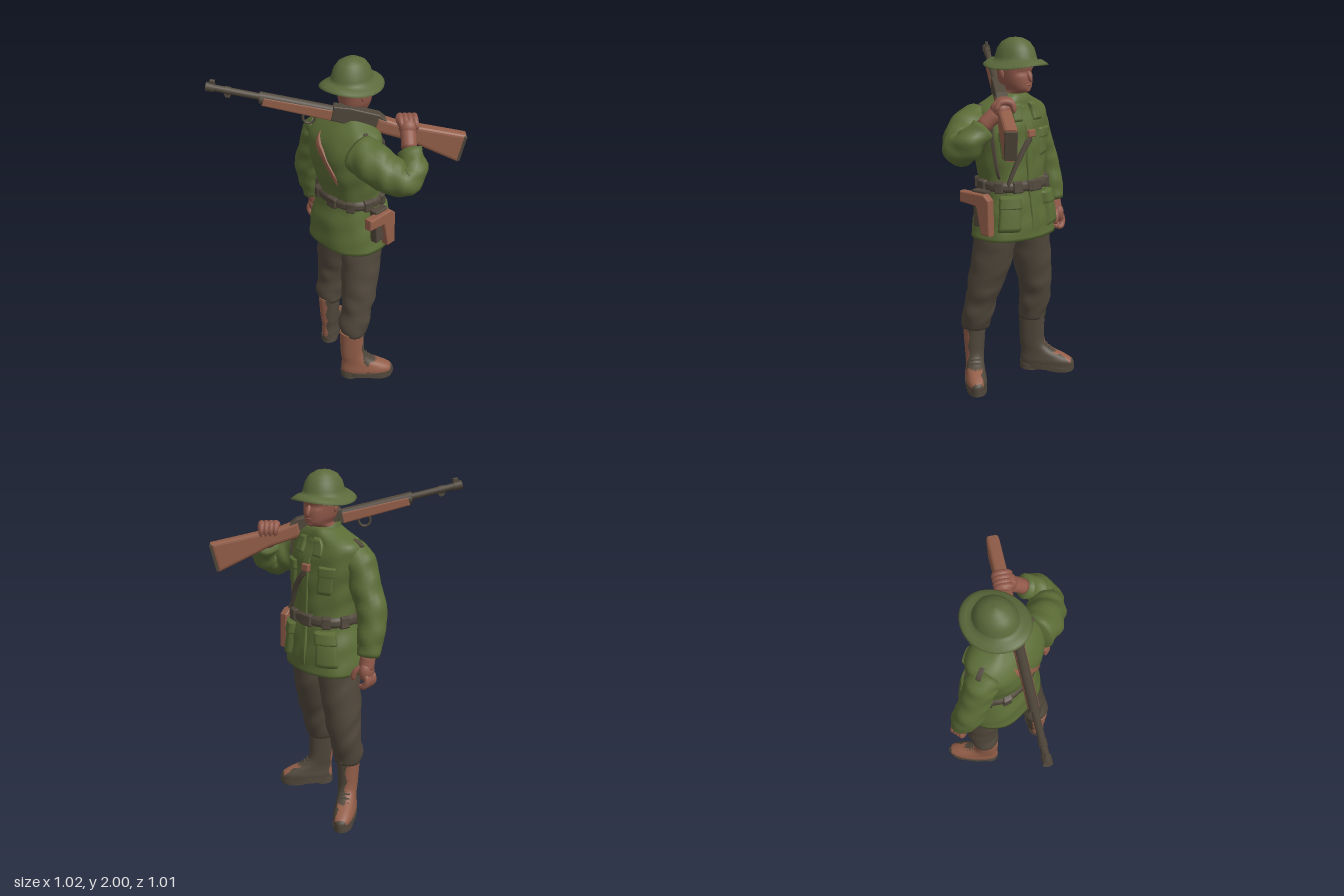
import * as THREE from 'three';
import { mergeVertices } from 'three/addons/utils/BufferGeometryUtils.js';

const mat = (name, color) => new THREE.MeshStandardMaterial({ name, color, side: THREE.DoubleSide });
const green = mat('jacketGreen', 0x5b6c36);
const hatGreen = mat('hatGreen', 0x5b693b);
const dark = mat('darkBrown', 0x50473b);
const red = mat('redBrown', 0x935e49);
const skin = mat('skin', 0x91594a);
const { sin, cos, PI, abs, sign, min, max } = Math;

// Smooth surface grid: u runs around, v runs upward
function grid(nu, nv, fn) {
  const pos = [], idx = [];
  for (let j = 0; j <= nv; j++) for (let i = 0; i <= nu; i++) pos.push(...fn(i / nu, j / nv));
  for (let j = 0; j < nv; j++) for (let i = 0; i < nu; i++) {
    const p = j * (nu + 1) + i, q = p + nu + 1;
    idx.push(p, q, p + 1, p + 1, q, q + 1);
  }
  const g = new THREE.BufferGeometry();
  g.setAttribute('position', new THREE.Float32BufferAttribute(pos, 3));
  g.setIndex(idx);
  const m = mergeVertices(g, 1e-5);
  m.computeVertexNormals();
  return m;
}

// Smoothly interpolated ring [y, cx, cz, rx, rz] at height y
function ringAt(rings, y) {
  let i = 0;
  while (i < rings.length - 2 && y > rings[i + 1][0]) i++;
  const a = rings[i], b = rings[i + 1], p = rings[max(i - 1, 0)], n = rings[min(i + 2, rings.length - 1)];
  const h = b[0] - a[0], t = (y - a[0]) / h, t2 = t * t, t3 = t2 * t;
  return a.map((va, k) => {
    const ma = (b[k] - p[k]) / (b[0] - p[0]) * h, mb = (n[k] - va) / (n[0] - a[0]) * h;
    return (2 * t3 - 3 * t2 + 1) * va + (t3 - 2 * t2 + t) * ma + (3 * t2 - 2 * t3) * b[k] + (t3 - t2) * mb;
  });
}

// Point on a stack of rings; a = 0 is the chest side (+x), a = PI/2 is +z
function ringPoint(rings, a, y, off = 0, twist = 0, e = 2) {
  const [, cx, cz, rx, rz] = ringAt(rings, y);
  const sp = (v) => sign(v) * abs(v) ** (2 / e);
  const x = (rx + off) * sp(cos(a)), z = (rz + off) * sp(sin(a));
  return [cx + x * cos(twist) - z * sin(twist), y, cz + x * sin(twist) + z * cos(twist)];
}

// Closed stack of rings, capped at both ends
function stack(rings, nu, nv, fold = () => 0, twist = 0, e = 2) {
  const y0 = rings[0][0], y1 = rings[rings.length - 1][0];
  return grid(nu, nv + 2, (u, v) => {
    const j = Math.round(v * (nv + 2)), y = y0 + (y1 - y0) * min(max((j - 1) / nv, 0), 1), a = u * 2 * PI;
    if (j === 0 || j === nv + 2) { const r = ringAt(rings, y); return [r[1], y, r[2]]; }
    return ringPoint(rings, a, y, fold(a, y), twist, e);
  });
}

// Tapered limb through points [x, y, z, radius]
function limb(pts, fold = 0, nv = 28) {
  const curve = new THREE.CatmullRomCurve3(pts.map((p) => new THREE.Vector3(p[0], p[1], p[2])));
  const fr = curve.computeFrenetFrames(nv);
  return grid(20, nv, (u, v) => {
    const j = Math.round(v * nv), k = v * (pts.length - 1), i = min(Math.floor(k), pts.length - 2), a = u * 2 * PI;
    let r = THREE.MathUtils.lerp(pts[i][3], pts[i + 1][3], k - i) + fold * sin(v * 34 + 2 * sin(a)) * cos(a * 2);
    if (j === 0 || j === nv) r = 0;
    const c = curve.getPoint(v);
    c.addScaledVector(fr.normals[j], r * cos(a)).addScaledVector(fr.binormals[j], -r * sin(a));
    return [c.x, c.y, c.z];
  });
}

// Split faces into two material groups by their centre
function paint(g, test) {
  const p = g.attributes.position, ix = g.index.array, sets = [[], []];
  for (let i = 0; i < ix.length; i += 3) {
    const t = [ix[i], ix[i + 1], ix[i + 2]], m = (f) => t.reduce((s, k) => s + p[f](k), 0) / 3;
    sets[test(m('getX'), m('getY'), m('getZ')) ? 1 : 0].push(...t);
  }
  g.setIndex([...sets[0], ...sets[1]]);
  g.addGroup(0, sets[0].length, 0);
  g.addGroup(sets[0].length, sets[1].length, 1);
  return g;
}

const BODY = [[0.9, 0.1, -0.03, 0.192, 0.252], [1.05, 0.1, -0.03, 0.178, 0.226], [1.2, 0.103, -0.02, 0.15, 0.193],
  [1.4, 0.075, -0.02, 0.168, 0.218], [1.54, 0.07, -0.025, 0.16, 0.235], [1.62, 0.08, -0.022, 0.125, 0.22],
  [1.67, 0.095, -0.012, 0.1, 0.13], [1.7, 0.1, -0.01, 0.08, 0.08]];
const bodyFold = (a, y) => 0.004 * sin(a * 5 + y * 17) * cos(y * 29 - a * 2);
const onBody = (a, y, off) => ringPoint(BODY, a, y, off, 0.15, 2.4);

export function createModel() {
  const root = new THREE.Group();
  const add = (name, geo, m, parent = root) => {
    const mesh = new THREE.Mesh(geo, m);
    mesh.name = name;
    parent.add(mesh);
    return mesh;
  };
  const ball = (name, m, p, s) => {
    const b = add(name, new THREE.SphereGeometry(1, 20, 14), m);
    b.position.set(...p); b.scale.set(...s);
    return b;
  };
  // Raised panel that follows the jacket surface
  const panel = (name, m, a0, a1, y0, y1, off, slope = 0) => add(name, grid(16, 10, (u, v) => {
    const edge = min(1, 10 * min(u, 1 - u), 10 * min(v, 1 - v)), a = a0 + (a1 - a0) * u;
    return onBody(a, y0 + (y1 - y0) * v + slope * (a1 - a0) * u, -0.006 + (off + 0.006) * edge);
  }), m);

  // Jacket and collar
  add('jacket', stack(BODY, 56, 48, bodyFold, 0.15, 2.4), green);
  add('collar', grid(32, 4, (u, v) => {
    const a = u * 2 * PI;
    return [0.1 + (0.105 - 0.02 * v) * cos(a), 1.655 + 0.065 * v - 0.03 * max(0, cos(a)), -0.01 + (0.105 - 0.02 * v) * sin(a)];
  }), green);
  panel('placket', green, -0.08, 0.08, 0.91, 1.6, 0.008);
  for (const s of [-1, 1]) {
    const span = (name, m, lo, hi, y0, y1, off) => panel(name, m, s > 0 ? lo : -hi, s > 0 ? hi : -lo, y0, y1, off);
    span('lapel', green, 0.1, 0.38, 1.55, 1.655, 0.014);
    span('chestPocket', green, 0.32, 0.85, 1.35, 1.49, 0.009);
    span('chestPocketFlap', green, 0.3, 0.87, 1.45, 1.51, 0.014);
    span('hipPocket', green, 0.34, 1.05, 0.95, 1.12, 0.022);
    span('hipPocketFlap', green, 0.31, 1.08, 1.08, 1.155, 0.03);
    span('shoulderTab', dark, 1.68, 1.9, 1.605, 1.645, 0.012);
  }

  // Belt, pouches and straps
  add('belt', grid(56, 5, (u, v) => onBody(u * 2 * PI, 1.172 + 0.058 * v, v === 0 || v === 1 ? 0 : 0.014)), dark);
  for (let i = 0; i < 10; i++) {
    const a = 0.25 + i * 0.64;
    panel('beltPouch', dark, a, a + 0.34, 1.164, 1.236, 0.023);
  }
  panel('buckle', dark, -0.12, 0.12, 1.168, 1.234, 0.02);
  panel('frontStrap', dark, -0.1, 0.85, 1.465, 1.515, 0.016, -0.33);
  panel('strapBadge', red, -0.1, 0.06, 1.465, 1.51, 0.021);
  panel('sideStrap', dark, 0.98, 1.1, 1.24, 1.62, 0.014);
  panel('backStrap', red, PI - 0.5, PI + 0.25, 1.31, 1.37, 0.007, 0.34);

  // Head
  const HEAD = [[1.65, 0.09, -0.01, 0.066, 0.066], [1.695, 0.1, -0.01, 0.068, 0.064], [1.715, 0.135, -0.01, 0.082, 0.058],
    [1.75, 0.13, -0.01, 0.096, 0.074], [1.8, 0.125, -0.01, 0.1, 0.084], [1.86, 0.12, -0.012, 0.104, 0.09], [1.9, 0.12, -0.015, 0.098, 0.088]];
  add('head', stack(HEAD, 32, 28, (a, y) => (cos(a) > 0.7 ? -0.007 * Math.exp(-(((y - 1.815) / 0.014) ** 2)) : 0), 0, 2.2), skin);
  const nose = ball('nose', skin, [0.226, 1.793, -0.01], [0.014, 0.032, 0.013]);
  nose.rotation.z = 0.4;
  ball('lips', skin, [0.219, 1.748, -0.01], [0.01, 0.008, 0.022]);
  ball('chin', skin, [0.203, 1.722, -0.01], [0.022, 0.017, 0.026]);
  for (const s of [-1, 1]) ball('ear', skin, [0.1, 1.805, -0.01 + s * 0.084], [0.017, 0.028, 0.009]).rotation.z = 0.2;

  // Brimmed hat with slightly lifted front and back
  const prof = [[0, 1.997], [0.04, 1.992], [0.08, 1.972], [0.106, 1.938], [0.119, 1.895], [0.125, 1.875], [0.15, 1.86], [0.178, 1.843], [0.188, 1.834], [0.18, 1.831], [0.12, 1.858]];
  const hat = new THREE.LatheGeometry(prof.map(([r, y]) => new THREE.Vector2(r, y)).reverse(), 40);
  const hp = hat.attributes.position;
  for (let i = 0; i < hp.count; i++) {
    const x = hp.getX(i), z = hp.getZ(i), r = Math.hypot(x, z);
    if (r > 0.14) hp.setY(i, hp.getY(i) + 0.024 * (x / r) ** 2);
    hp.setZ(i, z * 0.88 - 0.025);
    hp.setX(i, x + 0.118);
  }
  hat.computeVertexNormals();
  add('hat', hat, hatGreen);

  // Sleeves
  add('rightSleeve', limb([[0, 1.54, 0.13, 0.105], [0.0, 1.52, 0.22, 0.112], [0.035, 1.465, 0.32, 0.105], [0.085, 1.435, 0.39, 0.09],
    [0.15, 1.48, 0.39, 0.078], [0.195, 1.57, 0.32, 0.058]], 0.008), green);
  add('leftSleeve', limb([[0.065, 1.56, -0.17, 0.087], [0.07, 1.53, -0.225, 0.092], [0.08, 1.4, -0.28, 0.086], [0.09, 1.27, -0.335, 0.083],
    [0.125, 1.13, -0.355, 0.073], [0.15, 1.02, -0.357, 0.058]], 0.006), green);

  // Hands
  const finger = (pts, r) => add('finger', limb([[...pts[0], r * 0.7], [...pts[1], r], [...pts[2], r], [...pts[3], r * 0.6]], 0, 12), skin);
  add('rightWrist', limb([[0.18, 1.55, 0.335, 0.042], [0.21, 1.595, 0.305, 0.042], [0.24, 1.63, 0.27, 0.045]], 0, 8), skin);
  ball('rightPalm', skin, [0.25, 1.645, 0.265], [0.056, 0.052, 0.054]);
  for (let i = 0; i < 4; i++) {
    const k = (i - 1.5) * 0.018;
    finger([[0.235 + k, 1.64, 0.295 + k], [0.245 + k, 1.685, 0.265 + k], [0.285 + k, 1.682, 0.225 + k], [0.3 + k, 1.63, 0.22 + k]], 0.019);
  }
  finger([[0.22, 1.63, 0.25], [0.215, 1.675, 0.23], [0.235, 1.69, 0.21], [0.26, 1.68, 0.19]], 0.017);
  add('leftWrist', limb([[0.145, 1.05, -0.357, 0.042], [0.155, 1.0, -0.357, 0.042], [0.165, 0.96, -0.357, 0.042]], 0, 8), skin);
  ball('leftPalm', skin, [0.165, 0.955, -0.362], [0.05, 0.06, 0.038]);
  for (let i = 0; i < 4; i++) {
    const x = 0.135 + i * 0.02;
    finger([[x, 0.95, -0.38], [x, 0.905, -0.388], [x + 0.003, 0.875, -0.368], [x + 0.003, 0.875, -0.335]], 0.017);
  }
  finger([[0.18, 0.99, -0.345], [0.2, 0.955, -0.315], [0.205, 0.925, -0.303], [0.205, 0.9, -0.303]], 0.016);

  // Trousers
  const trouserFold = (a, y) => (y < 0.62 ? 0.006 : 0.003) * sin(y * 42 + 3 * sin(a + 1)) * cos(a * 1.5 + y * 9) ** 2;
  add('rightTrouser', stack([[0.335, -0.035, 0.142, 0.076, 0.076], [0.39, -0.028, 0.142, 0.088, 0.09], [0.5, 0, 0.14, 0.088, 0.092],
    [0.6, 0.025, 0.13, 0.103, 0.102], [0.75, 0.058, 0.113, 0.12, 0.108], [0.915, 0.08, 0.1, 0.132, 0.104]], 28, 36, trouserFold), dark);
  add('leftTrouser', stack([[0.335, 0.12, -0.2, 0.076, 0.076], [0.39, 0.122, -0.2, 0.084, 0.087], [0.5, 0.14, -0.195, 0.092, 0.092],
    [0.6, 0.143, -0.183, 0.102, 0.102], [0.75, 0.135, -0.158, 0.118, 0.112], [0.915, 0.128, -0.135, 0.13, 0.115]], 28, 36, trouserFold), dark);

  // Boots, two-toned with the outer side lighter
  const boot = (name, x, z, turn, side, lean, len) => {
    const g = new THREE.Group();
    g.name = name;
    g.position.set(x, 0, z);
    g.rotation.y = -turn;
    g.scale.x = len;
    root.add(g);
    const upper = stack([[0.025, 0.082, 0, 0.138, 0.058], [0.065, 0.08, 0, 0.138, 0.061], [0.095, 0.062, 0, 0.118, 0.056], [0.13, 0.028, 0, 0.083, 0.053],
      [0.17, 0.006, 0, 0.066, 0.055], [0.26, 0, 0, 0.064, 0.061], [0.355, 0, 0, 0.066, 0.067]], 56, 40, () => 0, 0, 2.3);
    add('upper', paint(upper, (px, py, pz) => py > 0.045 && (px > 0.09 && py < 0.12
      ? side * pz > -0.03 + 0.006 * sin(px * 90) && px < 0.207 : side * pz > lean * px + 0.006 * sin(py * 60))), [dark, red], g);
    const sole = add('sole', new THREE.CylinderGeometry(1, 1, 0.03, 32), dark, g);
    sole.position.set(0.082, 0.028, 0);
    sole.scale.set(0.143, 1, 0.064);
    const heel = add('heel', new THREE.CylinderGeometry(0.052, 0.054, 0.035, 20), dark, g);
    heel.position.set(-0.006, 0.018, 0);
    const front = add('frontSole', new THREE.CylinderGeometry(0.058, 0.058, 0.025, 20), dark, g);
    front.position.set(0.14, 0.013, 0);
    front.scale.x = 1.35;
    for (let i = 0; i < 5; i++) {
      const lace = add('lace', new THREE.CapsuleGeometry(0.005, 0.045, 3, 6), dark, g);
      lace.rotation.x = PI / 2;
      lace.position.set(0.128 - i * 0.017, 0.105 + i * 0.018, 0);
    }
  };
  boot('rightBoot', -0.045, 0.145, 0.78, 1, 0.7, 1.14);
  boot('leftBoot', 0.116, -0.2, -0.5, -1, 0, 1.17);

  // Shape in the side plane, given a thickness
  const slab = (pts, depth, bevel) => {
    const g = new THREE.ExtrudeGeometry(new THREE.Shape(pts.map((p) => new THREE.Vector2(...p))),
      { depth: depth - 2 * bevel, bevelSize: bevel, bevelThickness: bevel, bevelSegments: 3 });
    return g.translate(0, 0, bevel - depth / 2);
  };

  // Holster with pistol
  add('holster', slab([[-0.03, 1.12], [-0.03, 1.165], [0.13, 1.165], [0.16, 1.14], [0.165, 0.955], [0.12, 0.955], [0.085, 1.11]], 0.05, 0.009), red).position.z = 0.245;
  add('holsterBacking', slab([[0.04, 1.18], [0.12, 1.18], [0.12, 0.99], [0.05, 0.99]], 0.05, 0.008), dark).position.z = 0.22;

  // Rifle, laid along its own x axis from muzzle to butt
  const rifle = new THREE.Group();
  rifle.name = 'rifle';
  const X = new THREE.Vector3(0.99, -0.315, 0.98).normalize();
  const Z = new THREE.Vector3().crossVectors(X, new THREE.Vector3(0, 1, 0)).normalize();
  const Y = new THREE.Vector3().crossVectors(Z, X);
  rifle.quaternion.setFromRotationMatrix(new THREE.Matrix4().makeBasis(X, Y, Z));
  rifle.position.set(-0.49, 1.885, -0.495);
  root.add(rifle);
  const rod = (name, m, s0, s1, r, y = 0) => {
    const c = add(name, new THREE.CylinderGeometry(r, r, s1 - s0, 18), m, rifle);
    c.rotation.z = PI / 2;
    c.position.set((s0 + s1) / 2, y, 0);
  };
  rod('barrel', dark, 0, 0.72, 0.018);
  rod('muzzleBand', dark, 0, 0.045, 0.024);
  rod('frontBand', dark, 0.1, 0.13, 0.021);
  rod('handguard', dark, 0.28, 0.72, 0.026, 0.002);
  rod('barrelBand', dark, 0.285, 0.305, 0.03, -0.008);
  add('frontSight', slab([[0.01, 0], [0.05, 0], [0.04, 0.04], [0.02, 0.04]], 0.018, 0.003), dark, rifle);
  add('bayonetLug', slab([[0.09, 0], [0.14, 0], [0.13, -0.035], [0.11, -0.035]], 0.018, 0.003), dark, rifle);
  add('foreStock', slab([[0.31, -0.032], [0.31, 0], [0.7, 0.004], [0.95, 0.004], [0.95, -0.048], [0.7, -0.042]], 0.056, 0.009), red, rifle);
  add('receiver', slab([[0.68, -0.04], [0.68, 0.028], [0.76, 0.036], [0.92, 0.03], [0.97, 0.005], [0.95, -0.05]], 0.064, 0.008), dark, rifle);
  add('buttStock', slab([[0.93, -0.046], [0.93, 0.004], [1.02, -0.008], [1.12, -0.006], [1.388, -0.002], [1.388, -0.128], [1.1, -0.06]], 0.072, 0.02), red, rifle);
  add('buttPlate', slab([[1.398, 0.008], [1.412, 0.004], [1.412, -0.138], [1.398, -0.14]], 0.064, 0.004), dark, rifle);
  add('slingLoop', new THREE.TorusGeometry(0.032, 0.007, 8, 20), dark, rifle).position.set(0.56, -0.066, 0);
  add('triggerGuard', new THREE.TorusGeometry(0.034, 0.006, 8, 20), dark, rifle).position.set(0.92, -0.07, 0);

  return root;
}
